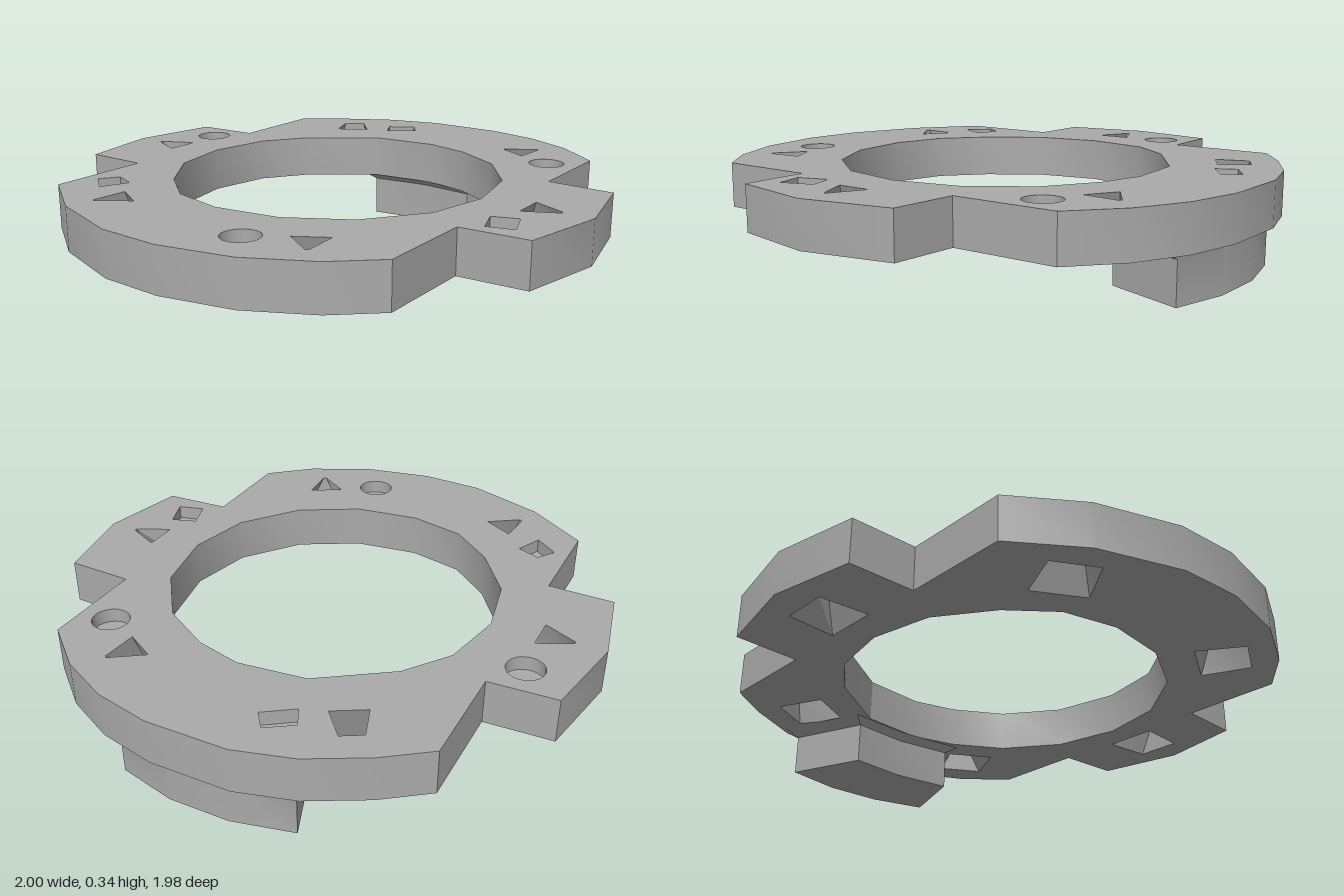
import * as THREE from 'three';
import { mergeGeometries, toCreasedNormals } from 'three/addons/utils/BufferGeometryUtils.js';

const TOP = 0.335, BASE = 0.175;
const pairs = (a) => Array.from({ length: a.length / 2 }, (_, i) => new THREE.Vector2(a[2 * i], a[2 * i + 1]));

// All contours are (x, z) points.
const outer = pairs([
  -0.7, -0.72, -0.55, -0.83, -0.355, -0.935, -0.155, -0.99, 0.135, -0.99, 0.34, -0.945, 0.525, -0.855,
  0.69, -0.715, 0.69, -0.335, 0.935, -0.325, 1, 0, 0.935, 0.32, 0.69, 0.33, 0.69, 0.7,
  0.54, 0.83, 0.32, 0.94, 0.055, 0.99, -0.18, 0.975, -0.47, 0.87, -0.7, 0.705, -0.7, 0.32,
  -0.94, 0.315, -1, 0, -0.94, -0.33, -0.7, -0.34]);
const inner = pairs([
  0.05, -0.605, 0.22, -0.56, 0.405, -0.45, 0.55, -0.25, 0.6, 0, 0.55, 0.24, 0.395, 0.445, 0.18, 0.565,
  -0.06, 0.595, -0.265, 0.545, -0.42, 0.415, -0.555, 0.22, -0.6, -0.015, -0.555, -0.25, -0.44, -0.41, -0.195, -0.58]);

// Flat face with holes, facing up or down
function cap(contour, holes, y, up) {
  const s = up ? -1 : 1;
  const flat = (c) => c.map((p) => new THREE.Vector2(p.x, s * p.y));
  const shape = new THREE.Shape(flat(contour));
  shape.holes = holes.map((h) => new THREE.Path(flat(h)));
  const g = new THREE.ShapeGeometry(shape).rotateX(s * Math.PI / 2).translate(0, y, 0);
  return g.toNonIndexed();
}

// Wall between two matching contours; a hole wall faces inwards
function wall(a, ya, b, yb, hole = false) {
  if ((THREE.ShapeUtils.area(b) > 0) === hole) { a = [...a].reverse(); b = [...b].reverse(); }
  const pos = [], uv = [];
  a.forEach((p, i) => {
    const j = (i + 1) % a.length, q = a[j], r = b[i], s = b[j];
    pos.push(p.x, ya, p.y, q.x, ya, q.y, r.x, yb, r.y, q.x, ya, q.y, s.x, yb, s.y, r.x, yb, r.y);
    uv.push(0, 0, 0, 0, 0, 0, 0, 0, 0, 0, 0, 0);
  });
  const g = new THREE.BufferGeometry();
  g.setAttribute('position', new THREE.Float32BufferAttribute(pos, 3));
  g.setAttribute('uv', new THREE.Float32BufferAttribute(uv, 2));
  g.computeVertexNormals();
  return g;
}

// Contour given as (radial, tangential) points, turned to an angle about the centre
const turned = (a, angle) => pairs(a).map((p) => p.rotateAround(new THREE.Vector2(), angle));

export function createModel() {
  const model = new THREE.Group();
  const grey = new THREE.MeshStandardMaterial({ color: 0xaaaaaa });
  grey.name = 'grey';
  const add = (name, parts) => {
    const mesh = new THREE.Mesh(toCreasedNormals(mergeGeometries(parts), 0.5), grey);
    mesh.name = name;
    model.add(mesh);
  };

  // Through holes: narrow triangles on top, wide slots below
  const slotTops = [], slotBases = [];
  for (let i = 0; i < 6; i++) {
    const angle = i * Math.PI / 3, tip = i === 4 ? 0.04 : 0.005;
    slotTops.push(turned([0.77, -0.063, 0.77, 0.063, 0.89, tip, 0.89, -tip], angle));
    slotBases.push(turned([0.71, -0.1, 0.71, 0.1, 0.89, 0.085, 0.89, -0.085], angle));
  }

  // Blind pockets: three square, three round
  const pockets = [
    pairs([-0.28, -0.8, -0.19, -0.86, -0.145, -0.8, -0.245, -0.73]),
    pairs([0.72, 0.17, 0.81, 0.14, 0.85, 0.25, 0.755, 0.275]),
    pairs([-0.645, 0.57, -0.6, 0.505, -0.515, 0.54, -0.56, 0.64])];
  for (const [x, z] of [[-0.79, -0.215], [0.57, -0.58], [0.205, 0.78]]) {
    pockets.push(Array.from({ length: 24 }, (_, i) => {
      const t = i * Math.PI / 12;
      return new THREE.Vector2(x + 0.066 * Math.cos(t), z + 0.066 * Math.sin(t));
    }));
  }

  add('ring', [
    cap(outer, [inner, ...slotTops, ...pockets], TOP, true),
    cap(outer, [inner, ...slotBases], BASE, false),
    wall(outer, TOP, outer, BASE),
    wall(inner, TOP, inner, BASE, true)]);
  add('throughHoles', slotTops.map((t, i) => wall(t, TOP, slotBases[i], BASE, true)));
  add('pockets', pockets.flatMap((p) => [
    wall(p, TOP, p, TOP - 0.05, true), cap(p, [], TOP - 0.05, true)]));

  // Curved foot under the back, with a flared neck
  const foot = pairs([
    -0.22, -0.61, 0, -0.635, 0.22, -0.61, 0.32, -0.895, 0.11, -0.945, -0.11, -0.945, -0.325, -0.895]);
  const neck = foot.map((p) => new THREE.Vector2(p.x * 1.18, p.y > -0.7 ? p.y + 0.03 : p.y));
  add('foot', [
    cap(foot, [], 0, false),
    wall(foot, 0.15, foot, 0),
    wall(neck, BASE, foot, 0.15)]);

  return model;
}
